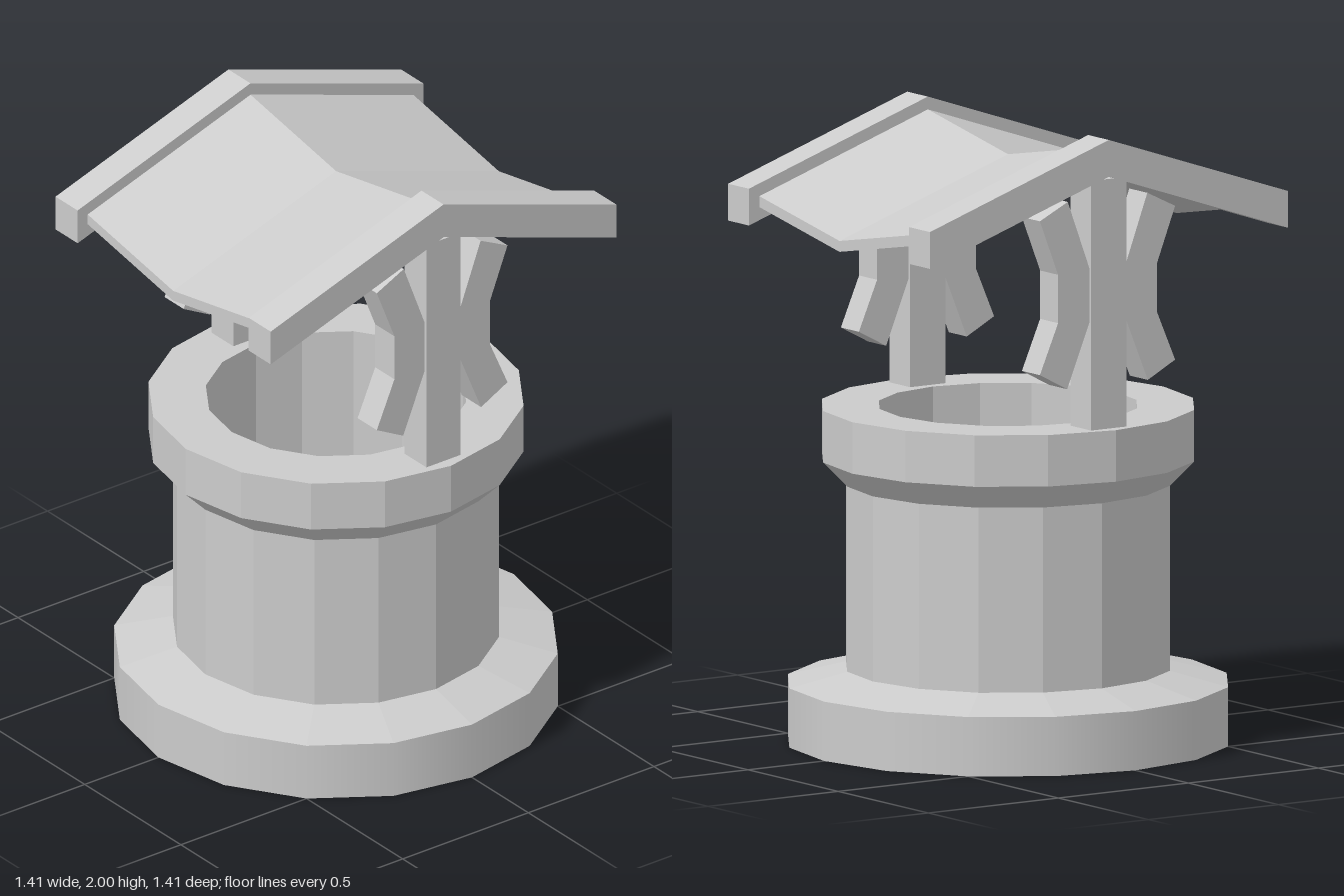
import * as THREE from 'three';

const flat = new THREE.MeshStandardMaterial({ color: 0xcccccc, flatShading: true });
const smooth = new THREE.MeshStandardMaterial({ color: 0xcccccc });

function add(group, name, geometry, material = flat) {
  const mesh = new THREE.Mesh(geometry, material);
  mesh.name = name;
  group.add(mesh);
  return mesh;
}

// Sixteen-sided turned part
const lathe = (points) =>
  new THREE.LatheGeometry(points.map(([r, y]) => new THREE.Vector2(r, y)), 16);

// Flat outline given depth along z, centred on z = 0
function slab(points, depth) {
  const shape = new THREE.Shape(points.map(([x, y]) => new THREE.Vector2(x, y)));
  const geometry = new THREE.ExtrudeGeometry(shape, { depth, steps: 2, bevelEnabled: false });
  return geometry.translate(0, 0, -depth / 2);
}

// Gable-shaped outline: peak, half width, thickness, slope 1 in 3
function chevron(peak, half, thick) {
  const eave = peak - half / 3;
  return [[0, peak], [-half, eave], [-half, eave - thick],
    [0, peak - thick], [half, eave - thick], [half, eave]];
}

export function createModel() {
  const well = new THREE.Group();
  well.name = 'well';

  // Stone body
  add(well, 'baseBottom', lathe([[0, 0], [0.707, 0]]));
  add(well, 'baseWall', lathe([[0.707, 0], [0.707, 0.19]]), smooth);
  add(well, 'wallAndRim', lathe([
    [0.707, 0.19], [0.52, 0.237], [0.52, 0.83], [0.598, 0.91],
    [0.598, 1.075], [0.415, 1.075], [0.415, 0.2], [0, 0.2],
  ]));

  // Front and back supports: post, gable beam and a pair of bent braces
  const brace = [[0.153, 1.815], [0.07, 1.595], [0.07, 1.42], [0.155, 1.215],
    [0.26, 1.27], [0.19, 1.43], [0.19, 1.585], [0.26, 1.763]];
  for (const [side, z] of [['front', 0.502], ['back', -0.502]]) {
    const support = new THREE.Group();
    support.name = side + 'Support';
    support.position.z = z;
    well.add(support);

    add(support, 'post', new THREE.BoxGeometry(0.136, 0.82, 0.114)).position.y = 1.465;
    add(support, 'gableBeam', slab(chevron(2, 0.688, 0.118), 0.115));
    add(support, 'leftBrace', slab(brace, 0.1));
    add(support, 'rightBrace', slab(brace.map(([x, y]) => [-x, y]), 0.1));
  }

  // Roof sheet, sagging to the middle between the gables
  const roof = slab(chevron(1.96, 0.648, 0.035), 0.9);
  const p = roof.attributes.position;
  for (let i = 0; i < p.count; i++) {
    p.setY(i, p.getY(i) - 0.083 * (1 - Math.abs(p.getZ(i)) / 0.45));
  }
  roof.computeVertexNormals();
  add(well, 'roof', roof);

  return well;
}
